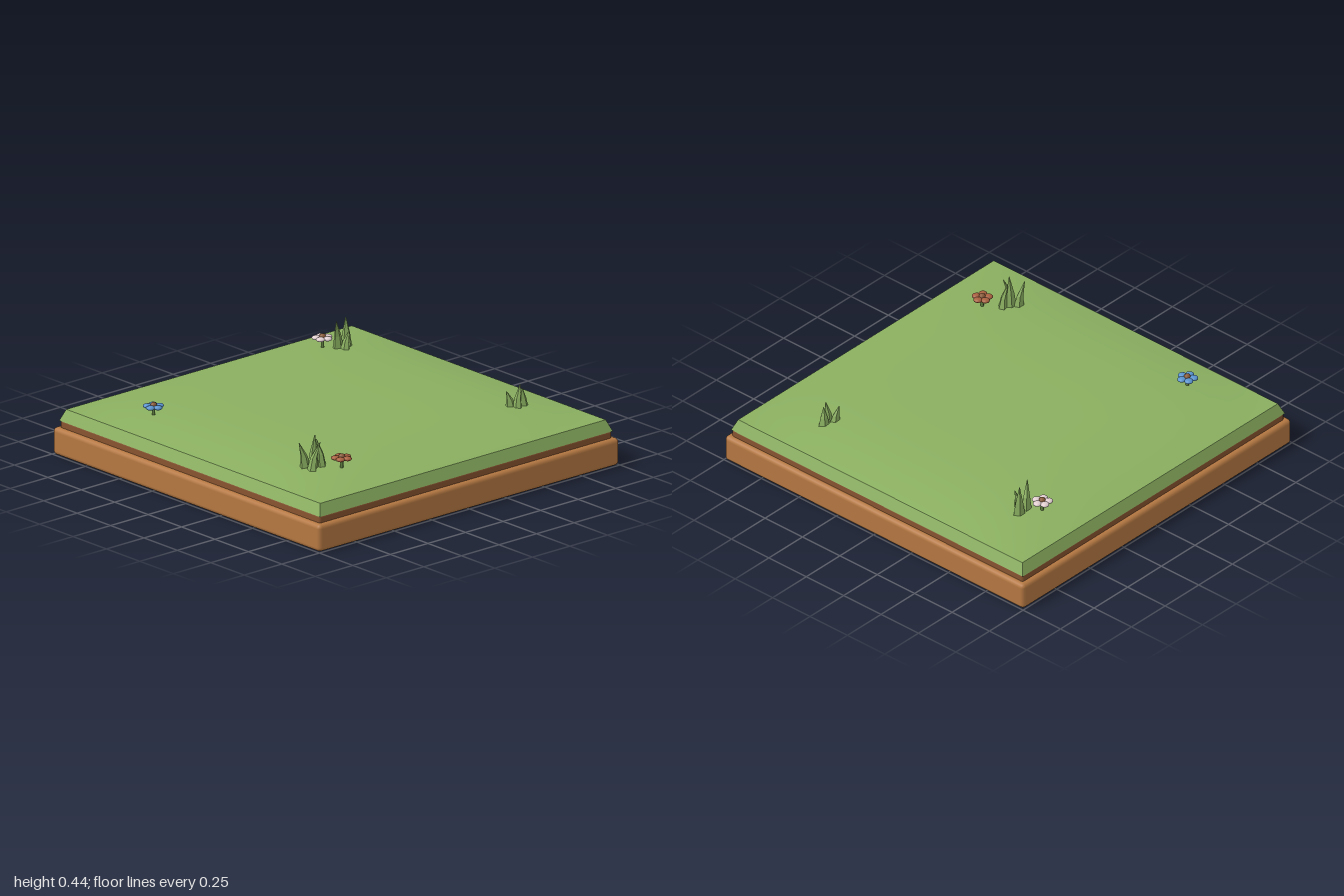
import * as THREE from 'three';
import { RoundedBoxGeometry } from 'three/addons/geometries/RoundedBoxGeometry.js';

const flat = (name, color) => {
  const m = new THREE.MeshStandardMaterial({ color });
  m.name = name;
  return m;
};

// Height of the gently domed lawn
const EDGE = 0.95;
const bulge = (t) => 1 - Math.min(1, Math.abs(t / EDGE)) ** 4;
const ground = (x, z) => 0.237 + 0.056 * bulge(x) * bulge(z);

export function createModel() {
  const model = new THREE.Group();
  model.name = 'meadowTile';

  const soil = flat('soil', 0xb57842);
  const darkSoil = flat('dark soil', 0x87532f);
  const grass = flat('grass', 0x8aaf60);
  const stemGreen = flat('stem', 0x5f7f3f);
  const blue = flat('blue petal', 0x5a94d0);
  const white = flat('pale petal', 0xe2cfd2);
  const red = flat('russet petal', 0xa8603f);
  const heart = flat('flower heart', 0x8a5a38);
  for (const m of [grass]) m.flatShading = false;

  const add = (parent, name, geometry, material, x = 0, y = 0, z = 0) => {
    const mesh = new THREE.Mesh(geometry, material);
    mesh.name = name;
    mesh.position.set(x, y, z);
    parent.add(mesh);
    return mesh;
  };

  // Earth slab and the recessed darker layer above it
  add(model, 'soilBase', new RoundedBoxGeometry(2, 0.143, 2, 2, 0.022), soil, 0, 0.0715, 0);
  add(model, 'soilLayer', new RoundedBoxGeometry(1.945, 0.06, 1.945, 2, 0.012), darkSoil, 0, 0.152, 0);

  // Lawn: a box whose top is drawn in and domed, leaving sloping sides
  const lawn = new THREE.BoxGeometry(2, 1, 2, 16, 1, 16);
  const p = lawn.attributes.position;
  for (let i = 0; i < p.count; i++) {
    const top = p.getY(i) > 0;
    const half = top ? EDGE : 0.975;
    const x = p.getX(i) * half, z = p.getZ(i) * half;
    p.setXYZ(i, x, top ? ground(x, z) : 0.177, z);
  }
  lawn.computeVertexNormals();
  add(model, 'lawn', lawn, grass);

  // Faceted blade: a five-sided cone with a bulging waist, sheared to its tip
  const blade = (height, radius, leanX, leanZ, turn) => {
    let g = new THREE.CylinderGeometry(0.002, radius, height, 5, 2);
    g.translate(0, height / 2, 0);
    g.scale(1, 1, 0.75);
    g.rotateY(turn);
    const q = g.attributes.position;
    for (let i = 0; i < q.count; i++) {
      const t = q.getY(i) / height;
      const swell = t > 0.3 && t < 0.7 ? 1.15 : 1;
      q.setXYZ(i, q.getX(i) * swell + leanX * t * t, q.getY(i), q.getZ(i) * swell + leanZ * t * t);
    }
    g = g.toNonIndexed();
    g.computeVertexNormals();
    return g;
  };

  // Each blade: base x, base z, tip height, lean x, lean z
  const clumps = {
    frontRightClump: [
      [-0.7, 0.56, 0.4, -0.035, -0.01], [-0.705, 0.61, 0.41, 0.04, 0.02],
      [-0.67, 0.585, 0.44, 0.0, 0.01], [-0.63, 0.605, 0.41, -0.02, -0.02],
    ],
    backLeftClump: [
      [0.615, -0.675, 0.42, -0.03, 0.02], [0.625, -0.635, 0.37, 0.02, 0.01],
      [0.67, -0.675, 0.42, -0.005, 0.0],
    ],
    frontLeftClump: [
      [0.67, 0.555, 0.35, -0.02, -0.01], [0.685, 0.585, 0.385, 0.02, 0.0],
      [0.73, 0.575, 0.36, -0.01, 0.01],
    ],
  };
  for (const [name, blades] of Object.entries(clumps)) {
    const clump = new THREE.Group();
    clump.name = name;
    blades.forEach(([x, z, tip, lx, lz], i) => {
      const y = ground(x, z) - 0.02;
      add(clump, 'grassBlade', blade(tip - y, 0.034, lx, lz, i * 1.3), grass, x, y, z);
    });
    model.add(clump);
  }

  // Flower: stem, heart and a ring of squashed, faceted petals
  const petalShape = new THREE.IcosahedronGeometry(0.023, 1).scale(1, 0.5, 1);
  const heartShape = new THREE.IcosahedronGeometry(0.017, 1).scale(1, 0.9, 1);
  const flower = (name, petal, x, z, y, turn) => {
    const g = new THREE.Group();
    g.name = name;
    const base = ground(x, z) - 0.01;
    add(g, 'stem', new THREE.CylinderGeometry(0.007, 0.009, y - base, 6), stemGreen, x, (y + base) / 2, z);
    for (let i = 0; i < 5; i++) {
      const a = turn + (i * Math.PI * 2) / 5;
      add(g, 'petal', petalShape, petal, x + Math.cos(a) * 0.032, y, z + Math.sin(a) * 0.032);
    }
    add(g, 'flowerHeart', heartShape, heart, x, y + 0.007, z);
    model.add(g);
  };
  flower('blueFlower', blue, -0.738, -0.535, 0.312, 0.3);
  flower('paleFlower', white, 0.567, -0.738, 0.318, 0.1);
  flower('russetFlower', red, -0.575, 0.69, 0.323, 0.0);

  return model;
}
